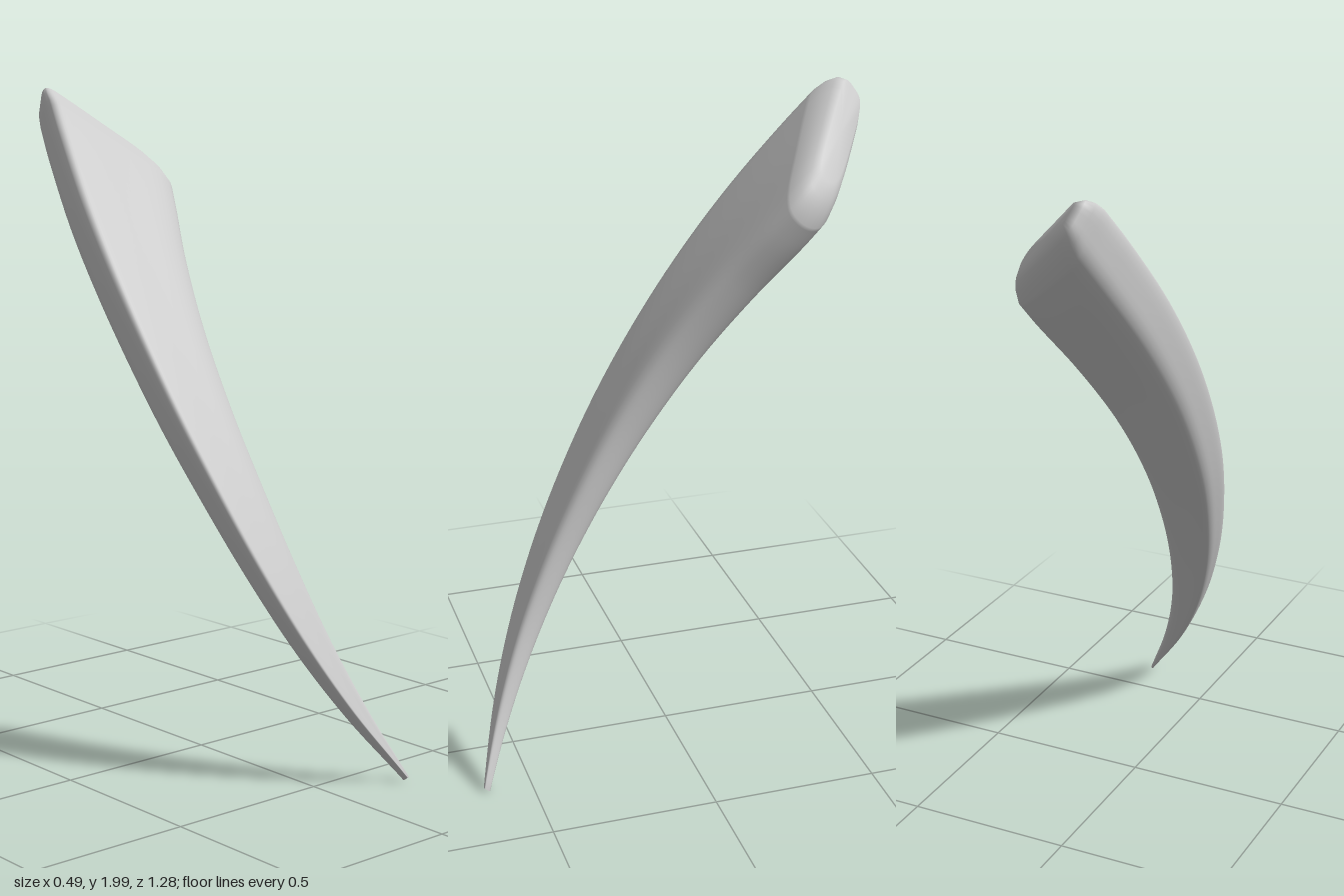
import * as THREE from 'three';

const v3 = (a) => new THREE.Vector3(...a);

// Edges of the horn in tip-to-base order.
// Outer (convex) edge: x, y, thickness. Inner (concave) edge: x, y, unused.
const outerEdge = new THREE.CatmullRomCurve3([
  [0.235, 0.012, 0.022], [0.085, 0.22, 0.05], [-0.025, 0.42, 0.075], [-0.11, 0.63, 0.095],
  [-0.172, 0.84, 0.114], [-0.225, 1.1, 0.135], [-0.248, 1.4, 0.153], [-0.235, 1.65, 0.167],
  [-0.195, 1.86, 0.172], [-0.167, 1.965, 0.168],
].map(v3));
const innerEdge = new THREE.CatmullRomCurve3([
  [0.245, 0.012, 0], [0.155, 0.21, 0], [0.085, 0.42, 0], [0.043, 0.63, 0],
  [0.02, 0.84, 0], [0.013, 1.06, 0], [0.033, 1.28, 0], [0.085, 1.49, 0],
  [0.143, 1.64, 0], [0.167, 1.705, 0],
].map(v3));

// Boxy rounded cross-section: u across (outer to inner), w depth (front to back)
const section = new THREE.CatmullRomCurve3([
  [0, 0.1], [0.04, 0.01], [0.15, 0], [0.5, 0.02], [0.84, 0.05], [0.95, 0.15], [1, 0.4],
  [0.985, 0.68], [0.92, 0.87], [0.8, 0.96], [0.5, 1], [0.2, 0.97], [0.09, 0.85], [0.025, 0.5],
].map(([u, w]) => new THREE.Vector3(u, w, 0)), true, 'centripetal');

// Backward lean of the front face
const frontZ = (y) => 0.65 - 0.318 * y - 0.138 * y * y;

function createHorn() {
  const sides = 56, steps = 64;
  const outline = section.getPoints(sides).slice(0, sides);
  const positions = [], index = [];

  // A ring between an outer point l and an inner point r; inset thins it from both faces
  const addRing = (l, r, thickness, inset = 0) => {
    for (const { x: u, y: w } of outline) {
      const y = THREE.MathUtils.lerp(l.y, r.y, u);
      const d = thickness * (inset + w * (1 - 2 * inset));
      positions.push(THREE.MathUtils.lerp(l.x, r.x, u), y - 0.6 * d, frontZ(y) - 0.8 * d);
    }
  };
  for (let i = 0; i <= steps; i++) {
    const l = outerEdge.getPoint(i / steps);
    addRing(l, innerEdge.getPoint(i / steps), l.z);
  }
  // Rounded base end: left x, left y, right x, right y, inset
  for (const [lx, ly, rx, ry, inset] of [
    [-0.158, 1.992, 0.162, 1.742, 0.05],
    [-0.142, 2.012, 0.148, 1.776, 0.13],
    [-0.118, 2.017, 0.122, 1.812, 0.24],
  ]) addRing({ x: lx, y: ly }, { x: rx, y: ry }, 0.165, inset);

  const rings = positions.length / 3 / sides;
  for (let i = 0; i < rings - 1; i++) {
    for (let j = 0; j < sides; j++) {
      const k = (j + 1) % sides;
      const a = i * sides + j, b = i * sides + k;
      index.push(a, b, b + sides, a, b + sides, a + sides);
    }
  }
  // Close the tip and the base with fans around the ring centres
  for (const [ring, flip] of [[0, true], [rings - 1, false]]) {
    const start = ring * sides, centre = [0, 0, 0];
    for (let j = 0; j < sides * 3; j++) centre[j % 3] += positions[start * 3 + j] / sides;
    const c = positions.length / 3;
    positions.push(...centre);
    for (let j = 0; j < sides; j++) {
      const a = start + j, b = start + (j + 1) % sides;
      index.push(c, flip ? b : a, flip ? a : b);
    }
  }

  const geometry = new THREE.BufferGeometry();
  geometry.setAttribute('position', new THREE.Float32BufferAttribute(positions, 3));
  geometry.setIndex(index);
  geometry.computeVertexNormals();
  return geometry;
}

export function createModel() {
  const group = new THREE.Group();
  group.name = 'curvedHorn';
  const horn = new THREE.Mesh(createHorn(), new THREE.MeshStandardMaterial({ color: 0xcccccc }));
  horn.name = 'horn';
  group.add(horn);
  return group;
}
